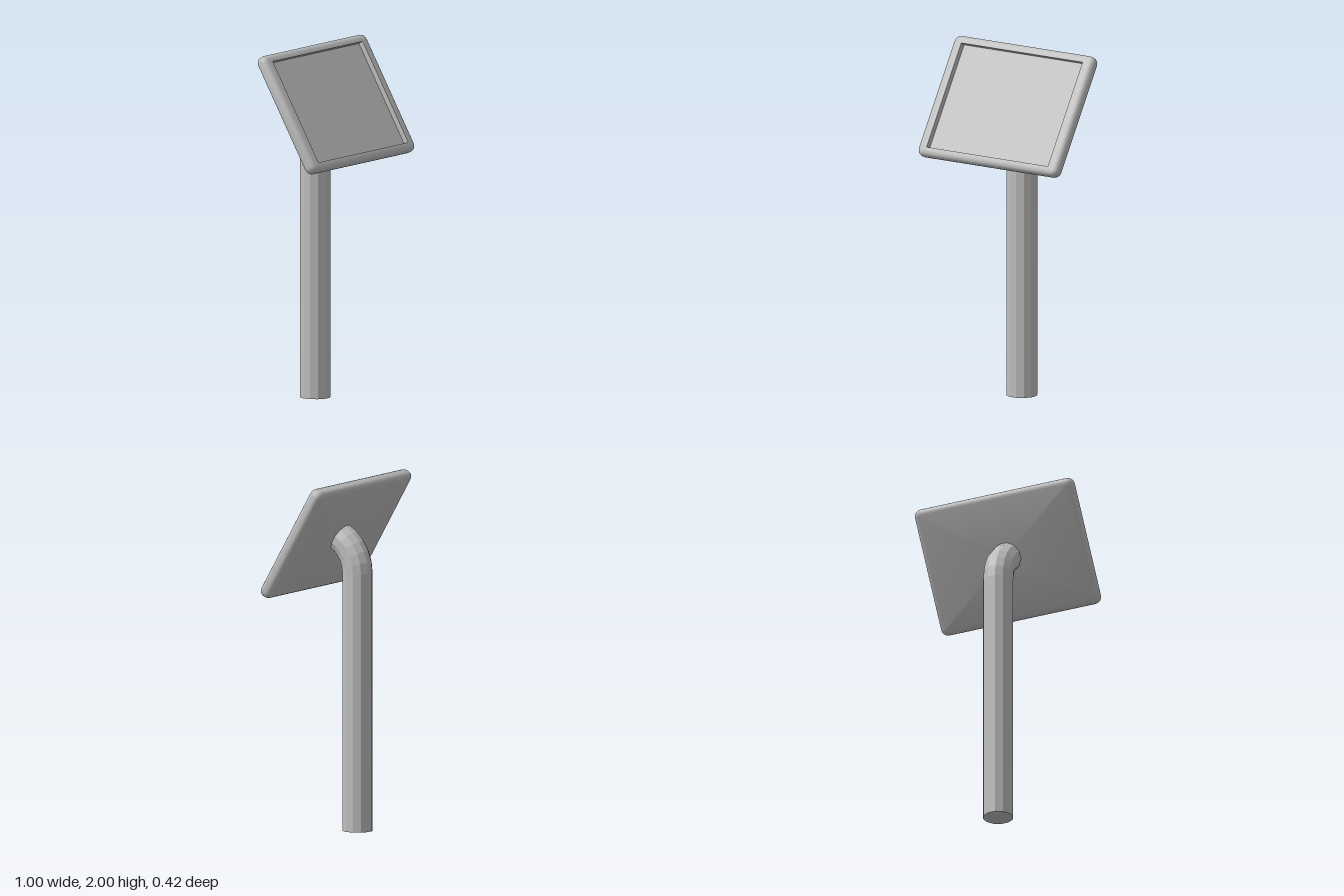
import * as THREE from 'three';
import { toCreasedNormals } from 'three/addons/utils/BufferGeometryUtils.js';

// Skin closed rings (counter-clockwise seen along the direction of travel) and cap both ends
function loft(rings, crease) {
  const n = rings[0].length, pos = [];
  const tri = (...pts) => pts.forEach(p => pos.push(p.x, p.y, p.z));
  for (let i = 0; i < rings.length - 1; i++) {
    for (let j = 0; j < n; j++) {
      const k = (j + 1) % n;
      const a = rings[i][j], b = rings[i][k], c = rings[i + 1][k], d = rings[i + 1][j];
      tri(a, b, c);
      tri(a, c, d);
    }
  }
  const cap = (ring, flip) => {
    const mid = new THREE.Vector3();
    ring.forEach(p => mid.addScaledVector(p, 1 / n));
    ring.forEach((p, j) => {
      const q = ring[(j + 1) % n];
      flip ? tri(mid, q, p) : tri(mid, p, q);
    });
  };
  cap(rings[0], true);
  cap(rings[rings.length - 1], false);
  const g = new THREE.BufferGeometry();
  g.setAttribute('position', new THREE.Float32BufferAttribute(pos, 3));
  g.computeVertexNormals();
  return crease ? toCreasedNormals(g, crease) : g;
}

// Rounded rectangle ring at depth z
function rectRing(hw, hh, r, z, steps = 4) {
  const ring = [];
  [[1, 1], [-1, 1], [-1, -1], [1, -1]].forEach(([sx, sy], q) => {
    for (let i = 0; i <= steps; i++) {
      const a = (q + i / steps) * Math.PI / 2;
      ring.push(new THREE.Vector3(sx * (hw - r) + r * Math.cos(a), sy * (hh - r) + r * Math.sin(a), z));
    }
  });
  return ring;
}

export function createModel() {
  const model = new THREE.Group();
  model.name = 'signPost';
  const grey = new THREE.MeshStandardMaterial({ color: 0xbfbfbf });
  grey.name = 'grey';

  const tilt = Math.PI / 6;

  // Tilted panel: rounded outer edge, raised rim, recessed face
  const HW = 0.498, HH = 0.363, HT = 0.0365, R = 0.03, CORNER = 0.04;
  const rings = [];
  const edge = (a, z) => {
    const inset = R * (1 - Math.cos(a));
    rings.push(rectRing(HW - inset, HH - inset, CORNER - inset, z + R * Math.sin(a)));
  };
  for (let i = 0; i <= 4; i++) edge(-Math.PI / 2 + i * Math.PI / 8, -HT + R);
  for (let i = 0; i <= 4; i++) edge(i * Math.PI / 8, HT - R);
  rings.push(rectRing(0.433, 0.315, 0, HT), rectRing(0.433, 0.315, 0, HT - 0.03));
  const panel = new THREE.Mesh(loft(rings, 0.6), grey);
  panel.name = 'panel';
  panel.rotation.x = -tilt;
  panel.position.set(0, 1.675, 0.0075);
  model.add(panel);

  // Twelve-sided pole that bends forward into the back of the panel
  const SIDES = 12, radius = 0.0865, bend = 0.22, bendY = 1.465, poleZ = -0.13, STEPS = 5;
  const poleRing = (y, z, a) => Array.from({ length: SIDES }, (_, j) => {
    const t = (j + 0.5) / SIDES * Math.PI * 2;
    const u = radius * Math.cos(t), v = radius * Math.sin(t);
    return new THREE.Vector3(-0.008 + u, y + v * Math.sin(a), z - v * Math.cos(a));
  });
  const poleRings = [poleRing(0, poleZ, 0)];
  for (let i = 0; i <= STEPS; i++) {
    const a = i / STEPS * Math.PI / 3;
    poleRings.push(poleRing(bendY + bend * Math.sin(a), poleZ + bend * (1 - Math.cos(a)), a));
  }
  const pole = new THREE.Mesh(loft(poleRings), grey);
  pole.name = 'pole';
  model.add(pole);

  return model;
}
